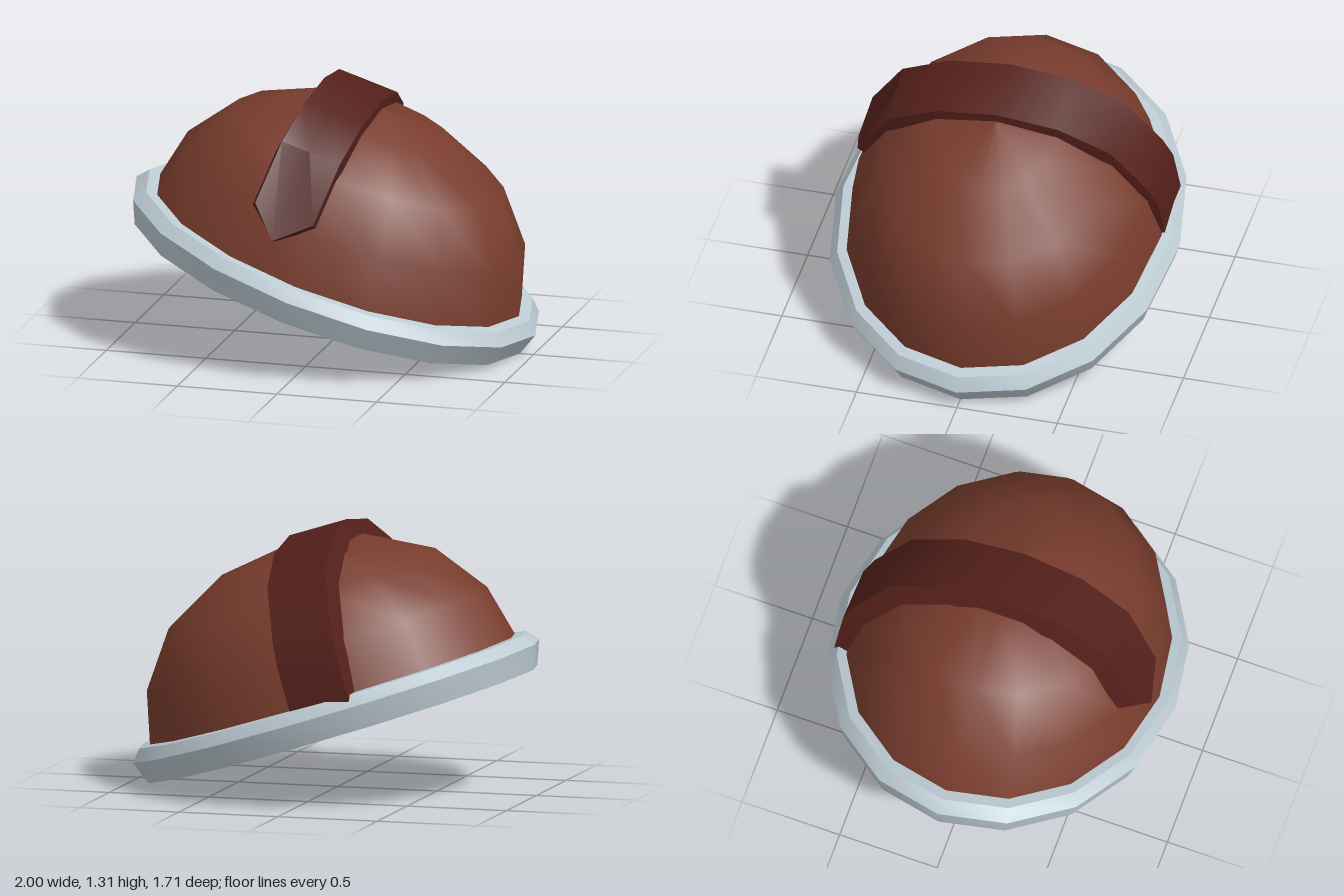
import * as THREE from 'three';
import { toCreasedNormals } from 'three/addons/utils/BufferGeometryUtils.js';

const DEPTH = 0.815; // the helmet is oval: narrower along z

function mesh(name, geometry, color) {
  const material = new THREE.MeshStandardMaterial({ color, side: THREE.DoubleSide });
  const m = new THREE.Mesh(geometry, material);
  m.name = name;
  return m;
}

// Sixteen-sided oval turned from a [radius, height] profile
function ovalLathe(profile) {
  const pts = profile.map(([r, y]) => new THREE.Vector2(r, y));
  return new THREE.LatheGeometry(pts, 16).scale(1, 1, DEPTH);
}

// Raised strap over the dome: three columns wide, open underneath, pointed at the front
function strapGeometry() {
  const path = [
    [-0.785, 0.03], [-0.765, 0.31], [-0.72, 0.425], [-0.555, 0.68], [-0.303, 0.815],
    [0, 0.86], [0.303, 0.815], [0.555, 0.68], [0.725, 0.4],
  ];
  const outerX = [-0.325, -0.18, -0.02];
  const innerX = [-0.35, -0.18, -0.005];
  const sink = [0.88, 0.93, 0.92];
  const last = path.length - 1;
  const station = (i, j) => (i === last && j === 1 ? [0.77, 0.265] : path[i]);
  const outer = (i, j) => {
    const [z, y] = station(i, j);
    return [outerX[j], y, z];
  };
  const inner = (i, j) => {
    const [z, y] = station(i, j);
    return [innerX[j], y * sink[j], z * sink[j]];
  };

  const pos = [];
  const quad = (a, b, c, d) => pos.push(...a, ...b, ...c, ...a, ...c, ...d);
  for (let i = 0; i < last; i++) {
    for (let j = 0; j < 2; j++) {
      quad(outer(i, j), outer(i + 1, j), outer(i + 1, j + 1), outer(i, j + 1));
    }
    quad(outer(i, 0), inner(i, 0), inner(i + 1, 0), outer(i + 1, 0));
    quad(outer(i, 2), outer(i + 1, 2), inner(i + 1, 2), inner(i, 2));
  }
  // pointed front end
  for (let j = 0; j < 2; j++) {
    quad(outer(last, j), inner(last, j), inner(last, j + 1), outer(last, j + 1));
  }
  const g = new THREE.BufferGeometry();
  g.setAttribute('position', new THREE.Float32BufferAttribute(pos, 3));
  return toCreasedNormals(g, 0.6);
}

export function createModel() {
  const model = new THREE.Group();
  model.name = 'helmet';

  // Hollow dome
  model.add(mesh('dome', ovalLathe([
    [0.955, 0.04], [0.88, 0.343], [0.69, 0.596], [0.37, 0.765], [0, 0.82],
  ]), 0x783c2d));

  // Thick rim around the opening
  model.add(mesh('rim', toCreasedNormals(ovalLathe([
    [0.89, -0.088], [1.005, -0.088], [1.05, 0.028], [1.0, 0.086], [0.945, 0.09], [0.89, -0.088],
  ]), 0.65), 0xbccad2));

  model.add(mesh('strap', strapGeometry(), 0x54201a));

  // Tilted down towards its left
  model.rotation.z = THREE.MathUtils.degToRad(-17.7);
  model.position.y = 0.39;
  const root = new THREE.Group();
  root.add(model);
  return root;
}
